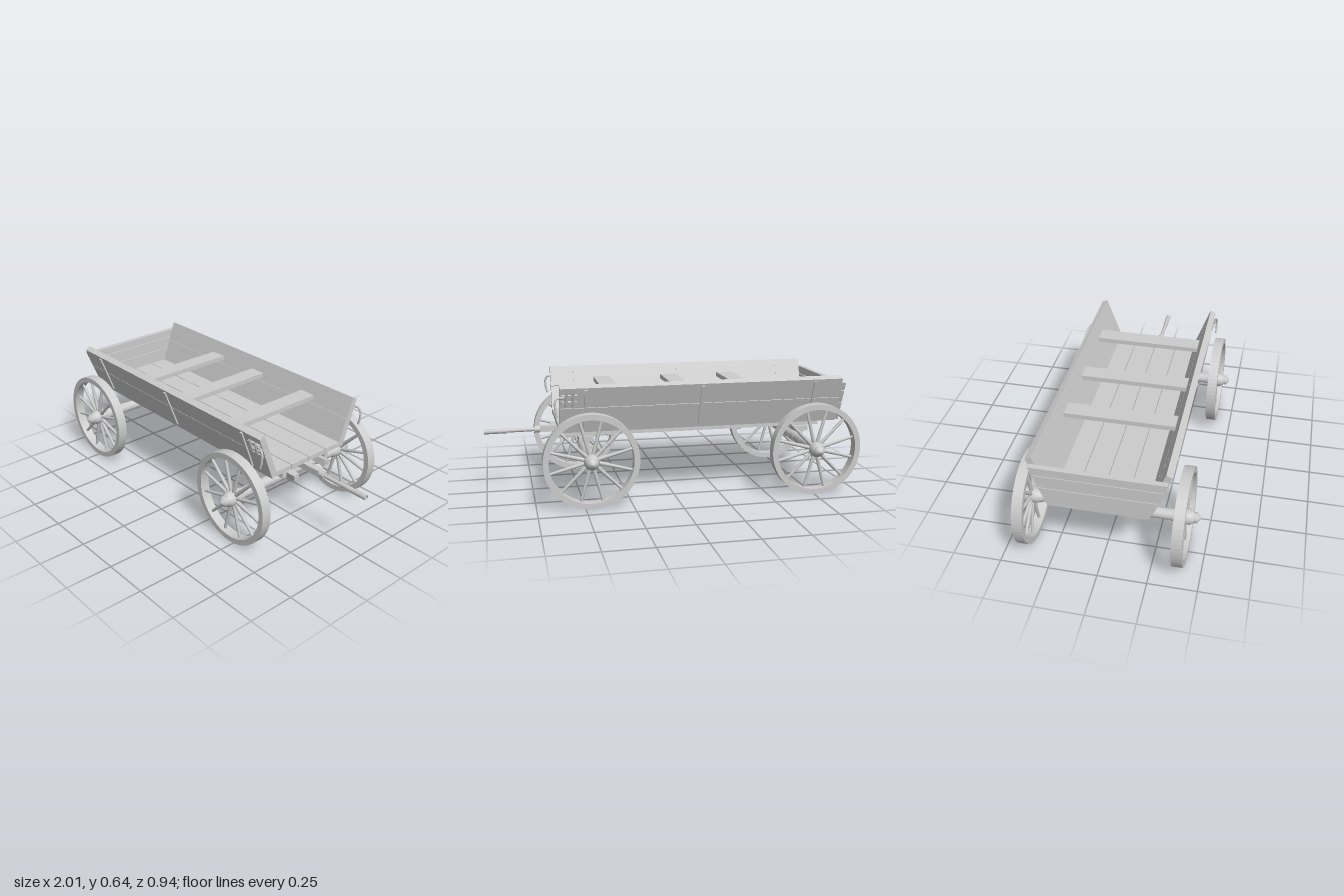
import * as THREE from 'three';

const material = new THREE.MeshStandardMaterial({ color: 0xcccccc, side: THREE.DoubleSide });

function add(parent, name, geometry, x = 0, y = 0, z = 0) {
  const mesh = new THREE.Mesh(geometry, material);
  mesh.name = name;
  mesh.position.set(x, y, z);
  parent.add(mesh);
  return mesh;
}

const box = (w, h, d) => new THREE.BoxGeometry(w, h, d);

// Solid with a [z, y] cross-section running along x
function prism(points, x0, x1) {
  const shape = new THREE.Shape(points.map(([z, y]) => new THREE.Vector2(-z, y)));
  return new THREE.ExtrudeGeometry(shape, { depth: x1 - x0, bevelEnabled: false })
    .rotateY(Math.PI / 2).translate(x0, 0, 0);
}

// Turned part along +z from [radius, z] pairs
const turned = (profile, sides = 24) => new THREE.LatheGeometry(
  profile.map(([r, z]) => new THREE.Vector2(r, z)), sides).rotateX(Math.PI / 2);

// Round bar between two points
function bar(parent, name, a, b, radius) {
  const curve = new THREE.LineCurve3(new THREE.Vector3(...a), new THREE.Vector3(...b));
  return add(parent, name, new THREE.TubeGeometry(curve, 1, radius, 8), 0, 0, 0);
}

// Sloped side wall: inner and outer faces at fraction t of the height
const inner = t => [0.226 + 0.093 * t, 0.39 + 0.248 * t];
const outer = t => [0.258 + 0.091 * t, 0.374 + 0.249 * t];
const proud = (t, d) => [outer(t)[0] + d, outer(t)[1] - d * 0.36];

function makeWheel() {
  const wheel = new THREE.Group();
  // Rim with square edges
  const ring = new THREE.Shape().absarc(0, 0, 0.25, 0, Math.PI * 2);
  ring.holes.push(new THREE.Path().absarc(0, 0, 0.22, 0, Math.PI * 2, true));
  add(wheel, 'rim', new THREE.ExtrudeGeometry(ring,
    { depth: 0.053, bevelEnabled: false, curveSegments: 32 }), 0, 0, -0.0265);
  // Tapered spokes
  for (let i = 0; i < 12; i++) {
    const spoke = add(wheel, 'spoke', new THREE.CylinderGeometry(0.0075, 0.011, 0.2, 8)
      .translate(0, 0.125, 0));
    spoke.rotation.z = (i + 0.5) * Math.PI / 6;
  }
  // Hub stepping down to a pointed cap
  add(wheel, 'hub', turned([[0, -0.045], [0.031, -0.045], [0.038, -0.035], [0.04, -0.02],
    [0.04, 0.03], [0.034, 0.038], [0.033, 0.046], [0.027, 0.047], [0.026, 0.056],
    [0.029, 0.058], [0.027, 0.064], [0.015, 0.074], [0.006, 0.081], [0, 0.082]]));
  return wheel;
}

function makeAxle(x) {
  const axle = new THREE.Group();
  axle.name = 'axleAssembly';
  axle.position.set(x, 0, 0);
  // Axle beam flaring at both ends
  add(axle, 'axle', turned([[0.036, -0.36], [0.036, -0.345], [0.029, -0.325],
    [0.029, 0.325], [0.036, 0.345], [0.036, 0.36]]), 0, 0.25, 0);
  for (const z of [-0.22, -0.12, -0.045, 0.045, 0.12, 0.22]) {
    add(axle, 'axleBand', turned([[0.029, -0.006], [0.032, -0.006], [0.032, 0.006], [0.029, 0.006]]),
      0, 0.25, z);
  }
  // Pivot plate and bolster carrying the bed
  add(axle, 'pivotPlate', box(0.09, 0.012, 0.12), 0, 0.287, 0);
  add(axle, 'pivotPost', new THREE.CylinderGeometry(0.03, 0.03, 0.03, 16), 0, 0.295, 0);
  add(axle, 'bolster', box(0.08, 0.027, 0.35), 0, 0.315, 0);
  add(axle, 'bolsterBlock', box(0.08, 0.055, 0.16), 0, 0.348, 0);
  for (const side of [1, -1]) {
    const wheel = makeWheel();
    wheel.name = 'wheel';
    wheel.position.set(0, 0.25, side * 0.39);
    if (side < 0) wheel.rotation.y = Math.PI;
    axle.add(wheel);
  }
  return axle;
}

// One sloping wall with its battens, bolts, latch and hook, built on +z
function makeSide() {
  const side = new THREE.Group();
  for (const [a, b] of [[0, 0.555], [0.565, 1]]) {
    add(side, 'sideBoard', prism([inner(a), outer(a), outer(b), inner(b)], -0.915, 0.613));
  }
  for (const x of [-0.76, -0.135, 0.48]) {
    add(side, 'sideBatten', prism([outer(0.1), proud(0.1, 0.008), proud(0.96, 0.008), outer(0.96)],
      x - 0.008, x + 0.008));
    for (const t of [0.2, 0.4, 0.68, 0.85]) {
      const [z, y] = inner(t);
      add(side, 'bolt', new THREE.SphereGeometry(0.004, 8, 6), x, y, z);
    }
  }
  // Latch: two straps crossed by upright pins
  for (const t of [0.68, 0.82]) {
    add(side, 'latchStrap', prism([outer(t), proud(t, 0.012), proud(t + 0.05, 0.012), outer(t + 0.05)],
      0.525, 0.605));
  }
  for (const x of [0.545, 0.58]) {
    const [z0, y0] = proud(0.62, 0.01), [z1, y1] = proud(0.92, 0.01);
    bar(side, 'latchPin', [x, y0, z0], [x, y1, z1], 0.008);
  }
  // Hanging hook at the open end
  const path = new THREE.CatmullRomCurve3([[0.59, 0.575, 0.345], [0.625, 0.577, 0.352],
    [0.638, 0.56, 0.356], [0.637, 0.51, 0.357], [0.628, 0.478, 0.357]]
    .map(p => new THREE.Vector3(...p)));
  add(side, 'hook', new THREE.TubeGeometry(path, 20, 0.006, 8));
  return side;
}

export function createModel() {
  const wagon = new THREE.Group();
  wagon.name = 'wagon';
  wagon.add(makeAxle(-0.755), makeAxle(0.465));

  // Floor planks
  for (let i = 0; i < 4; i++) {
    add(wagon, 'floorPlank', box(1.528, 0.026, 0.121), -0.151, 0.391, (i - 1.5) * 0.125);
  }

  // Mirrored side walls
  for (const s of [1, -1]) {
    const side = makeSide();
    side.name = s > 0 ? 'leftSide' : 'rightSide';
    side.scale.z = s;
    wagon.add(side);
  }

  // Tailboard planks
  const half = y => 0.245 + (y - 0.375) * 0.39;
  for (const [a, b] of [[0.375, 0.478], [0.482, 0.548], [0.552, 0.595]]) {
    add(wagon, 'tailBoard', prism([[-half(a), a], [half(a), a], [half(b), b], [-half(b), b]],
      -0.943, -0.914));
  }

  // Seat planks
  for (const x of [-0.43, -0.083, 0.317]) {
    add(wagon, 'seatPlank', box(0.094, 0.025, 0.576), x, 0.563, 0);
  }

  // Rails under the bed and angled bars by the tongue
  for (const s of [1, -1]) {
    add(wagon, 'bedRail', box(1.45, 0.038, 0.028), -0.13, 0.352, s * 0.155);
    const hound = add(wagon, 'tongueBrace', box(0.28, 0.034, 0.032), 0.5, 0.337, s * 0.112);
    hound.rotation.x = s * 0.2;
    bar(wagon, 'braceBolt', [0.635, 0.337, s * 0.112], [0.645, 0.337, s * 0.112], 0.006);
  }

  // Tongue
  add(wagon, 'tongueRoot', box(0.25, 0.034, 0.034), 0.575, 0.345, 0);
  bar(wagon, 'tongue', [0.45, 0.345, 0], [1, 0.34, 0], 0.011);
  bar(wagon, 'tongueTip', [0.88, 0.341, 0], [1, 0.34, 0], 0.014);
  add(wagon, 'tongueCollar', new THREE.CylinderGeometry(0.019, 0.019, 0.03, 16)
    .rotateZ(Math.PI / 2), 0.715, 0.343, 0);
  return wagon;
}
